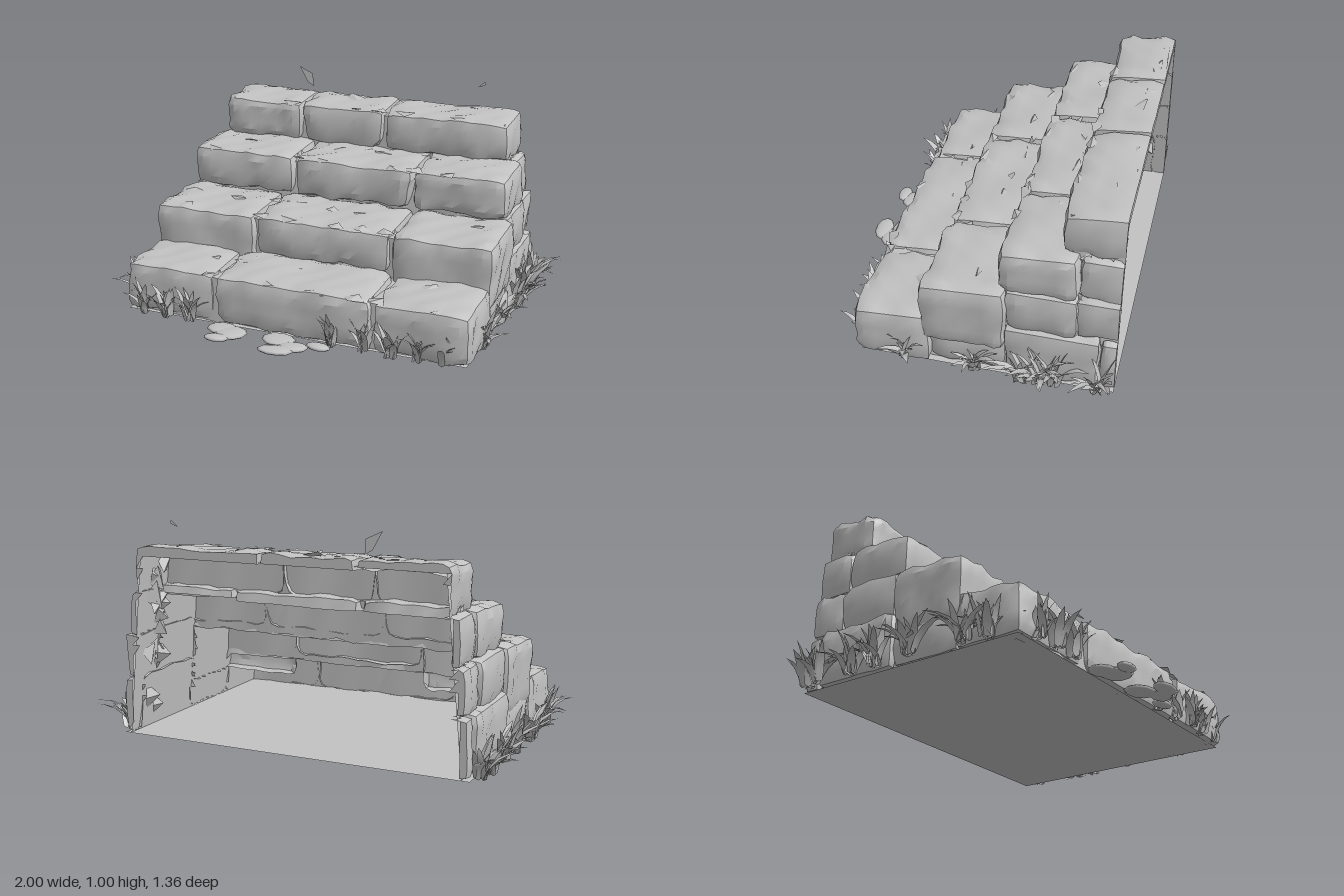
import * as THREE from 'three';
import { mergeGeometries, toCreasedNormals } from 'three/addons/utils/BufferGeometryUtils.js';

const BACK = -0.685;

// Half width of the hollow core on each side; it narrows upwards
const coreX = (y, side) => (side > 0 ? 0.82 - 0.1 * y : 0.785 - 0.09 * y);

// Small seeded random generator
let seed = 11;
const rand = () => {
  seed = (seed * 16807) % 2147483647;
  return seed / 2147483647;
};
const range = (a, b) => a + (b - a) * rand();

// Smooth bumps that depend only on position, so shared edges stay closed
const bump = (x, y, z, s) =>
  Math.sin(x * 17 + y * 9 + s) * 0.4 + Math.sin(z * 21 - x * 11 + s * 2.3) * 0.35 + Math.sin(y * 31 + z * 37 + x * 43 + s) * 0.35;

// Weathered block; faces inside the core, further than "shell" from top and front, are removed
function stoneGeometry([x0, x1, y0, y1, z0, z1], shell, skew = 0, tilt = 0) {
  const size = [x1 - x0, y1 - y0, z1 - z0];
  const mid = [(x0 + x1) / 2, (y0 + y1) / 2, (z0 + z1) / 2];
  const segs = size.map((s) => Math.max(3, Math.round(s / 0.05)));
  const geo = new THREE.BoxGeometry(...size, ...segs);
  const pos = geo.attributes.position;
  const s = rand() * 40;
  const v = new THREE.Vector3(), core = new THREE.Vector3(), d = new THREE.Vector3();
  for (let i = 0; i < pos.count; i++) {
    v.fromBufferAttribute(pos, i);
    const chip = bump(v.x * 2 + mid[0], v.y * 2, v.z * 2 + mid[2], s);
    const r = Math.min(0.04 + 0.018 * chip, size[0] * 0.4, size[1] * 0.4, size[2] * 0.4);
    core.set(...size.map((w, k) => THREE.MathUtils.clamp(v.getComponent(k), -w / 2 + r, w / 2 - r)));
    d.subVectors(v, core).normalize();
    const flatBack = z0 <= BACK && v.z < -size[2] / 2 + 0.001;
    if (flatBack) d.z = 0;
    const edgeX = v.x / size[0];
    const sink = tilt * (v.y / size[1] + 0.5) * (v.z / size[2] + 0.5);
    v.copy(core).addScaledVector(d, r + 0.01 * bump(v.x, v.y, v.z, s) - 0.002);
    if (flatBack) v.z = -size[2] / 2;
    v.x += skew * edgeX * v.y;
    pos.setXYZ(i, v.x + mid[0], Math.max(0.005, v.y + mid[1] - sink), Math.max(BACK, v.z + mid[2]));
  }
  const kept = [], idx = geo.index.array;
  for (let i = 0; i < idx.length; i += 3) {
    const c = new THREE.Vector3();
    for (let k = 0; k < 3; k++) c.add(v.fromBufferAttribute(pos, idx[i + k]));
    c.divideScalar(3);
    const inside = Math.abs(c.x) < coreX(c.y, c.x) && c.y < y1 - shell && c.z < z1 - shell;
    if (!inside) kept.push(idx[i], idx[i + 1], idx[i + 2]);
  }
  geo.setIndex(kept);
  geo.clearGroups();
  return toCreasedNormals(geo, 0.5);
}

// One folded, tapering and drooping leaf
function bladeGeometry(x, z, angle, length, width, lean) {
  const geo = new THREE.PlaneGeometry(1, 1, 2, 4);
  const pos = geo.attributes.position;
  for (let i = 0; i < pos.count; i++) {
    const t = pos.getY(i) + 0.5, side = pos.getX(i);
    const w = width * (0.55 + 1.5 * t) * (1 - t) * 1.5;
    const out = length * lean * t * (0.5 + 0.5 * t);
    const up = length * (1.15 * t - 0.75 * lean * t * t) + Math.abs(side) * width * 0.5 * (1 - t);
    const px = x + Math.cos(angle) * out - Math.sin(angle) * side * w;
    const pz = z + Math.sin(angle) * out + Math.cos(angle) * side * w;
    pos.setXYZ(i, THREE.MathUtils.clamp(px, -1, 1), Math.max(0.006, up + 0.01), Math.max(BACK, pz));
  }
  geo.computeVertexNormals();
  return geo;
}

export function createModel() {
  const group = new THREE.Group();
  const stone = new THREE.MeshStandardMaterial({ color: 0xc2c2c2, side: THREE.DoubleSide });
  stone.name = 'stone grey';
  const add = (geo, name) => {
    const mesh = new THREE.Mesh(geo, stone);
    mesh.name = name;
    group.add(mesh);
    return mesh;
  };

  // Step rows: bottom, top, back, front, joints along x, joint slant, bottom of the end stones
  const rows = [
    [0.01, 0.272, 0.13, 0.485, [-0.825, -0.355, 0.42, 0.87], 0, 0.01],
    [0.255, 0.475, -0.205, 0.172, [-0.825, -0.295, 0.39, 0.872], 0.1, 0.14],
    [0.46, 0.682, -0.51, -0.16, [-0.79, -0.24, 0.37, 0.835], 0.2, 0.46],
    [0.665, 0.89, BACK, -0.415, [-0.74, -0.31, 0.13, 0.772], 0.15, 0.665],
  ];
  rows.forEach(([y0, y1, z0, z1, joints, skew, endY], r) => {
    for (let i = 0; i < 3; i++) {
      const gap = 0.003;
      const a = joints[i] + (i ? gap : 0), b = joints[i + 1] - (i < 2 ? gap : 0);
      const front = z1 - (r === 0 && i === 0 ? 0.015 : 0) + range(-0.006, 0.006);
      const geo = stoneGeometry([a, b, i === 1 ? y0 : endY, y1 + range(-0.006, 0.006), z0, front], 0.055, i === 1 ? skew : 0, 0.025);
      add(geo, `step${r + 1}Stone${i + 1}`);
    }
  });

  // Side wall stones behind the step ends: z back, z front, bottom, top, outer x
  const sideStones = [
    [-0.21, 0.15, 0.01, 0.2, 0.845],
    [-0.62, -0.19, 0.01, 0.275, 0.86],
    [BACK, -0.615, 0.01, 0.265, 0.845],
    [-0.515, -0.195, 0.255, 0.475, 0.845],
    [BACK, -0.5, 0.265, 0.475, 0.835],
    [BACK, -0.5, 0.46, 0.68, 0.81],
  ];
  for (const side of [-1, 1]) {
    for (const [z0, z1, y0, y1, x] of sideStones) {
      const outer = side > 0 ? x : x - 0.03;
      const xs = side > 0 ? [outer - 0.12, outer] : [-outer, 0.12 - outer];
      add(stoneGeometry([...xs, y0, y1, z0, z1], -1), side > 0 ? 'leftWallStone' : 'rightWallStone');
    }
  }

  // Hollow core behind the stones: stepped sheet, side sheets and floor
  const profile = [
    [0.45, 0.01], [0.45, 0.235], [0.14, 0.235], [0.14, 0.435], [-0.195, 0.435],
    [-0.195, 0.64], [-0.45, 0.64], [-0.45, 0.85], [BACK, 0.85],
  ];
  const sheet = new THREE.PlaneGeometry(2, 1, 18, profile.length - 1);
  const sp = sheet.attributes.position;
  for (let i = 0; i < sp.count; i++) {
    const row = Math.floor(i / 19);
    const [z, y] = profile[row];
    const last = row === profile.length - 1;
    const x = sp.getX(i);
    sp.setXYZ(i, x * coreX(y, x), y - (row ? range(0, 0.02) : 0), last ? z : z - range(0, 0.02));
  }
  add(toCreasedNormals(sheet, 0.4), 'stepBacking');
  const outline = new THREE.Shape([...profile, [BACK, 0.01]].map(([z, y]) => new THREE.Vector2(z, y)));
  for (const side of [-1, 1]) {
    const wall = new THREE.ShapeGeometry(outline).rotateY(-Math.PI / 2);
    const wp = wall.attributes.position;
    for (let i = 0; i < wp.count; i++) wp.setX(i, side * coreX(wp.getY(i), side));
    wall.computeVertexNormals();
    add(wall, 'sideBacking');
  }
  const floor = add(new THREE.PlaneGeometry(1.67, 1.14).rotateX(-Math.PI / 2), 'floor');
  floor.position.set(0.015, 0.008, BACK + 0.57);

  // Rough shards on the inner faces of the side walls
  const shards = [];
  for (let i = 0; i < 26; i++) {
    const side = i % 2 ? 1 : -1;
    const y = range(0.1, 0.78);
    const g = new THREE.TetrahedronGeometry(range(0.05, 0.09));
    g.scale(0.45, 1, 1).rotateX(range(0, 6)).translate(side * (coreX(y, side) - 0.01), y, range(-0.59, -0.48));
    shards.push(g);
  }
  add(mergeGeometries(shards), 'innerShards');

  // Chipped flakes along the step edges
  const flakes = [];
  rows.forEach(([, y1, , z1, joints]) => {
    for (let i = 0; i < 16; i++) {
      const g = new THREE.TetrahedronGeometry(range(0.025, 0.05));
      g.rotateY(range(0, 6)).scale(1.5, 0.25, 0.8).rotateX(range(-0.1, 0.5));
      const atFront = rand() < 0.5;
      const inset = atFront ? range(0.02, 0.04) : range(0.19, 0.24);
      g.translate(range(joints[0] + 0.06, joints[3] - 0.06), y1 - (atFront ? 0.028 : 0.014), Math.max(BACK + 0.05, z1 - inset));
      flakes.push(g);
    }
  });
  add(mergeGeometries(flakes), 'edgeFlakes');

  // Thin slivers standing at the rear edge
  const slivers = [
    [[-0.435, 1.0], [-0.36, 0.965], [-0.355, 0.9], [-0.39, 0.92]],
    [[0.535, 0.97], [0.57, 1.0], [0.575, 0.985], [0.555, 0.975]],
  ];
  for (const pts of slivers) {
    const shape = new THREE.Shape(pts.map((p) => new THREE.Vector2(...p)));
    add(new THREE.ShapeGeometry(shape), 'rearSliver').position.z = BACK + 0.002;
  }

  // Flat pebbles in front: x, z, half width, half depth
  const pebbles = [[-0.29, 0.51, 0.075, 0.06], [-0.23, 0.54, 0.075, 0.07], [-0.27, 0.61, 0.06, 0.035],
    [0.0, 0.52, 0.085, 0.065], [0.09, 0.57, 0.07, 0.05], [0.03, 0.625, 0.085, 0.045], [0.19, 0.52, 0.06, 0.035]];
  for (const [x, z, a, b] of pebbles) {
    const g = new THREE.SphereGeometry(1, 10, 6);
    g.scale(a, 0.014, b).rotateY(range(-0.4, 0.4)).translate(x, 0.014, z);
    add(g, 'pebble');
  }

  // Grass tufts fanning away from the walls: x, z, blade length, number of blades
  const tufts = [
    [-0.85, -0.63, 0.22, 14], [-0.87, -0.56, 0.18, 9], [-0.86, -0.38, 0.2, 13], [-0.87, -0.24, 0.21, 14],
    [-0.88, -0.04, 0.21, 14], [-0.86, 0.22, 0.2, 13], [-0.84, 0.32, 0.19, 13], [0.87, -0.61, 0.22, 14],
    [0.87, -0.43, 0.22, 14], [0.88, -0.36, 0.27, 18], [0.88, -0.28, 0.22, 13], [0.86, -0.06, 0.17, 13],
    [0.85, 0.25, 0.19, 13], [-0.72, 0.48, 0.18, 11], [-0.6, 0.49, 0.2, 13], [-0.47, 0.48, 0.18, 11],
    [0.24, 0.48, 0.17, 12], [0.38, 0.48, 0.16, 11], [0.52, 0.49, 0.18, 13], [0.64, 0.48, 0.17, 12], [0.77, 0.47, 0.18, 10],
  ];
  for (const [x, z, len, n] of tufts) {
    const outward = z > 0.45 ? Math.PI / 2 : x > 0 ? 0 : Math.PI;
    const blades = [];
    for (let i = 0; i < n; i++) {
      const angle = outward + ((i + 0.5) / n - 0.5) * 3.8 + range(-0.2, 0.2);
      const lean = z > 0.45 ? range(0.2, 0.65) : range(0.25, 0.9);
      blades.push(bladeGeometry(x + range(-0.02, 0.02), z + range(-0.025, 0.025), angle, len * range(0.6, 1.1), range(0.025, 0.04), lean));
    }
    add(mergeGeometries(blades), 'grassTuft');
  }
  return group;
}
